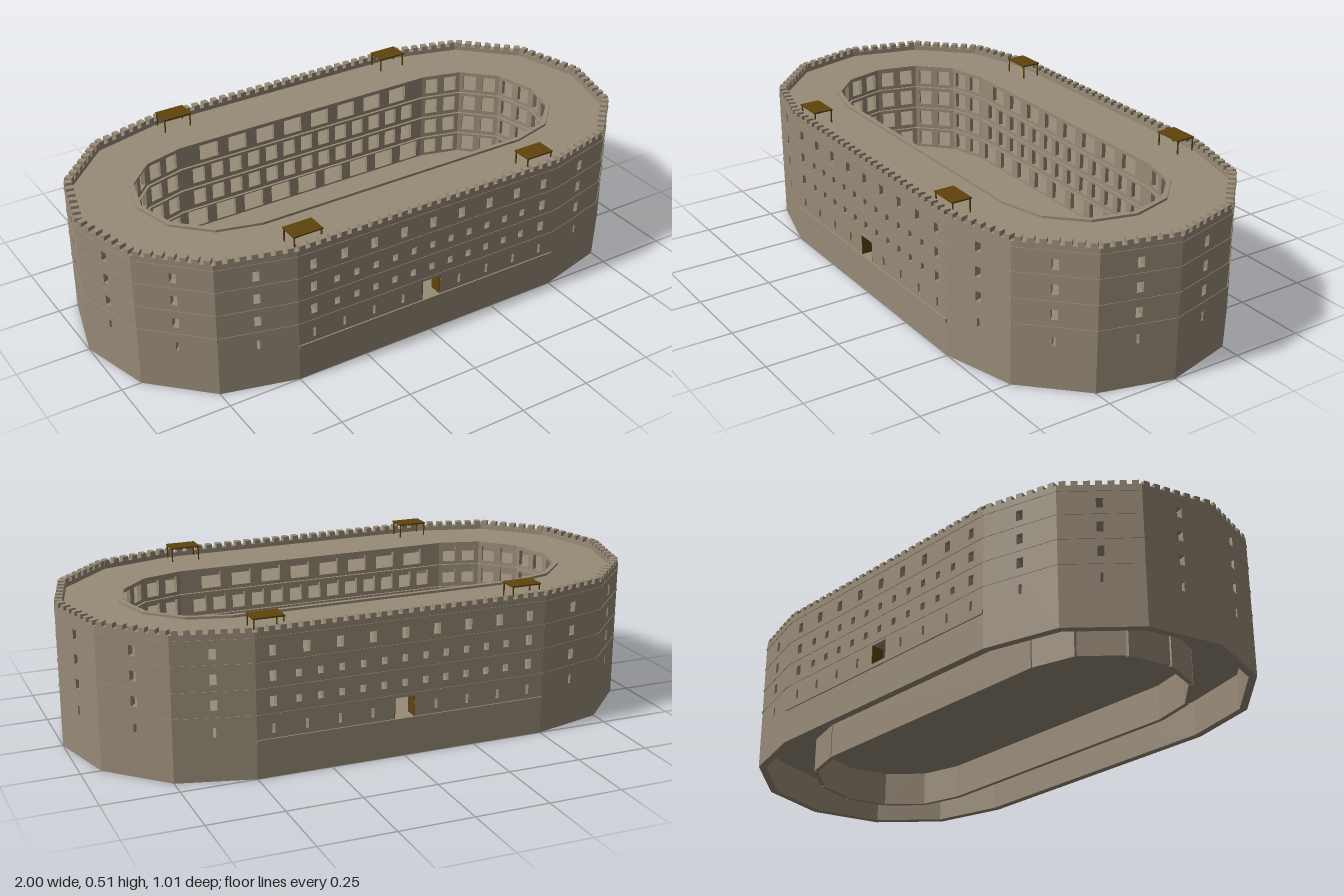
import * as THREE from 'three';
import { mergeGeometries } from 'three/addons/utils/BufferGeometryUtils.js';

const stone = new THREE.MeshStandardMaterial({ color: 0x988b78 });
stone.name = 'stone';
const wood = new THREE.MeshStandardMaterial({ color: 0x5f430c });
wood.name = 'wood';

// Elongated outline: two six-sided half rounds of radius r joined by straights
function outline(r) {
  const pts = [];
  for (const side of [1, -1]) {
    for (let i = 0; i <= 6; i++) {
      const a = side * (Math.PI / 2 - (i * Math.PI) / 6);
      pts.push(new THREE.Vector2(side * (0.5 + r * Math.cos(a)), r * Math.sin(a)));
    }
  }
  return pts;
}

function rectangle(cx, cy, w, h) {
  const [a, b, c, d] = [cx - w / 2, cx + w / 2, cy - h / 2, cy + h / 2];
  return new THREE.Path([[a, c], [a, d], [b, d], [b, c]].map(([x, y]) => new THREE.Vector2(x, y)));
}

// Horizontal slab following the outline, optionally hollow
function slab(outer, inner, y, h) {
  const shape = new THREE.Shape(outline(outer));
  if (inner) shape.holes.push(new THREE.Path(outline(inner)));
  const g = new THREE.ExtrudeGeometry(shape, { depth: h, bevelEnabled: false });
  return g.rotateX(-Math.PI / 2).translate(0, y, 0);
}

// Upright wall from p to q, its face looking to the right-hand normal
function wall(p, q, top, holes, thickness) {
  const L = p.distanceTo(q);
  const shape = new THREE.Shape([new THREE.Vector2(0, 0), new THREE.Vector2(L, 0), ...top(L)]);
  for (const [x, y, w, h] of holes(L)) shape.holes.push(rectangle(L / 2 + x, y, w, h));
  const g = new THREE.ExtrudeGeometry(shape, { depth: thickness, bevelEnabled: false });
  g.translate(0, 0, -thickness);
  g.rotateY(Math.atan2(-(q.y - p.y), q.x - p.x));
  return g.translate(p.x, 0, p.y);
}

function wallRing(pts, top, holes, thickness) {
  return mergeGeometries(pts.map((p, i) => wall(p, pts[(i + 1) % pts.length], top, holes, thickness)));
}

// Battlement profile, running from the far end back to the start
function battlements(L) {
  const n = Math.round(L / 0.037), s = L / n, pts = [];
  pts.push(new THREE.Vector2(L, 0.48));
  for (let i = n - 1; i >= 0; i--) {
    const a = (i + 0.22) * s, b = (i + 0.78) * s;
    pts.push(new THREE.Vector2(b, 0.48), new THREE.Vector2(b, 0.495),
      new THREE.Vector2(a, 0.495), new THREE.Vector2(a, 0.48));
  }
  pts.push(new THREE.Vector2(0, 0.48));
  return pts;
}

const flatTop = (L) => [new THREE.Vector2(L, 0.465), new THREE.Vector2(0, 0.465)];

// Outer windows: one column on each end facet, full rows on the long sides
function outerHoles(L) {
  const column = (x) => [[x, 0.417, 0.022, 0.034], [x, 0.335, 0.022, 0.034],
    [x, 0.252, 0.022, 0.034], [x, 0.163, 0.01, 0.032]];
  if (L < 0.5) return column(0);
  const list = [...column(-0.444), ...column(0.444), [0, 0.165, 0.07, 0.07]];
  for (let i = -3; i <= 3; i++) {
    list.push([i * 0.111, 0.417, 0.024, 0.036]);
    if (i) list.push([i * 0.111, 0.163, 0.01, 0.032]);
  }
  for (let i = -5; i <= 5; i++) {
    for (const y of [0.333, 0.25]) list.push([i * 0.072, y, 0.019, 0.024]);
  }
  return list;
}

// Gallery openings facing the court
function courtHoles(L) {
  const list = [];
  if (L < 0.5) {
    for (const x of [-0.036, 0.036]) {
      for (const y of [0.168, 0.252, 0.337, 0.42]) list.push([x, y, 0.046, 0.056]);
    }
    return list;
  }
  for (let i = -4; i <= 4; i++) list.push([i * 0.111, 0.168, 0.075, 0.064]);
  for (let i = -6; i <= 6; i++) {
    for (const y of [0.252, 0.337]) list.push([i * 0.072, y, 0.046, 0.056]);
  }
  for (let i = -4; i <= 3; i++) list.push([(i + 0.5) * 0.111, 0.42, 0.07, 0.056]);
  return list;
}

export function createModel() {
  const model = new THREE.Group();
  model.name = 'fortress';
  const add = (name, geometry, material, parent = model) => {
    const mesh = new THREE.Mesh(geometry, material);
    mesh.name = name;
    parent.add(mesh);
    return mesh;
  };
  const box = (name, size, pos, material, parent) =>
    add(name, new THREE.BoxGeometry(...size), material, parent).position.set(...pos);

  // Walls
  add('outerWall', wallRing(outline(0.5), battlements, outerHoles, 0.025), stone);
  const court = wallRing(outline(0.287).reverse(), flatTop, courtHoles, 0.015);
  add('courtWall', court, stone);

  // Floors, roof and court rim
  add('groundFloor', slab(0.485, 0, 0.122, 0.008), stone);
  for (const y of [0.21, 0.295, 0.38]) add('galleryFloor', slab(0.485, 0.278, y - 0.008, 0.008), stone);
  add('roof', slab(0.485, 0.28, 0.457, 0.008), stone);
  add('courtRim', slab(0.292, 0.276, 0.457, 0.016), stone);

  // String courses around the outside
  for (const y of [0.21, 0.295, 0.38, 0.46]) add('stringCourse', slab(0.502, 0.49, y - 0.002, 0.004), stone);

  for (const s of [1, -1]) {
    // Long ledge under each gate, and the open gate leaves
    box('gateLedge', [1, 0.014, 0.012], [0, 0.123, s * 0.499], stone);
    for (const x of [-0.035, 0.035]) box('gateLeaf', [0.004, 0.07, 0.045], [x, 0.165, s * 0.477], wood);

    // Roof shelters on four posts
    for (const t of [1, -1]) {
      const shelter = new THREE.Group();
      shelter.name = 'shelter';
      shelter.position.set(t * 0.444, 0, s * 0.438);
      model.add(shelter);
      box('shelterRoof', [0.104, 0.005, 0.07], [0, 0.5125, 0], wood, shelter);
      for (const x of [-0.048, 0.048]) {
        for (const z of [-0.031, 0.031]) box('shelterPost', [0.004, 0.05, 0.004], [x, 0.487, z], wood, shelter);
      }
    }
  }
  return model;
}
